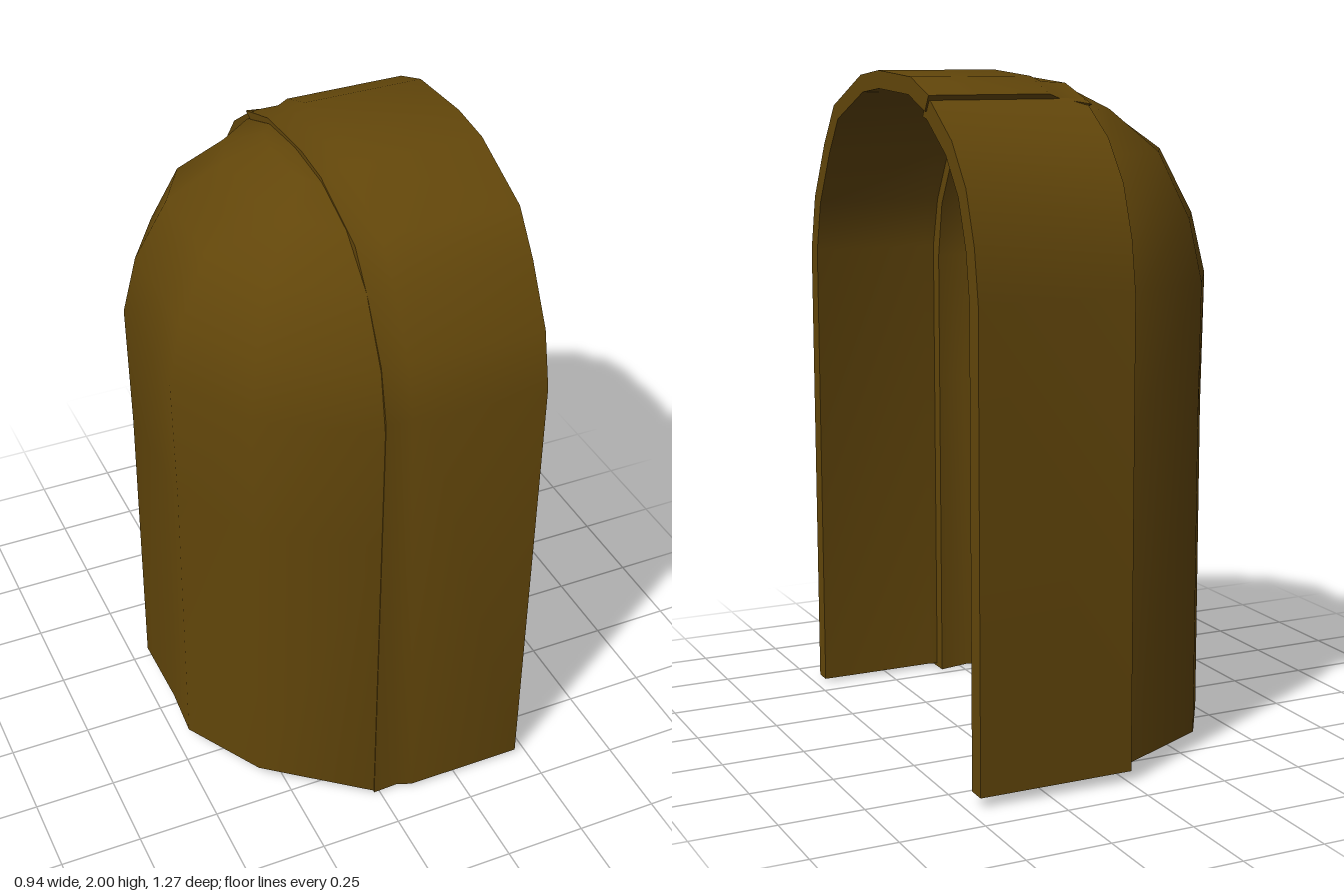
import * as THREE from 'three';
import { toCreasedNormals } from 'three/addons/utils/BufferGeometryUtils.js';

const material = new THREE.MeshStandardMaterial({ color: 0x62460a, side: THREE.DoubleSide });

// Closed thick shell between two matching grids of points (rows of columns).
function shell(name, outer, inner) {
  const pos = [];
  const quad = (a, b, c, d) => [a, b, c, a, c, d].forEach((p) => pos.push(...p));
  const m = outer.length - 1, n = outer[0].length - 1;
  for (let i = 0; i < m; i++) {
    for (let j = 0; j < n; j++) {
      quad(outer[i][j], outer[i][j + 1], outer[i + 1][j + 1], outer[i + 1][j]);
      quad(inner[i][j], inner[i + 1][j], inner[i + 1][j + 1], inner[i][j + 1]);
    }
    quad(outer[i][0], outer[i + 1][0], inner[i + 1][0], inner[i][0]);
    quad(outer[i][n], inner[i][n], inner[i + 1][n], outer[i + 1][n]);
  }
  for (let j = 0; j < n; j++) {
    quad(outer[0][j], inner[0][j], inner[0][j + 1], outer[0][j + 1]);
    quad(outer[m][j], outer[m][j + 1], inner[m][j + 1], inner[m][j]);
  }
  const g = new THREE.BufferGeometry();
  g.setAttribute('position', new THREE.Float32BufferAttribute(pos, 3));
  const mesh = new THREE.Mesh(toCreasedNormals(g, 0.7), material);
  mesh.name = name;
  return mesh;
}

// Shrinks an arch profile [z, y] inwards around its springing point.
function inset(profile, t) {
  return profile.map(([z, y]) => {
    const h = y - 1.4;
    if (h <= 0.04) return [z - Math.sign(z) * t, y];
    const r = Math.hypot(z, h);
    return [z * (1 - t / r), y - (h * t) / r];
  });
}

const section = (x, profile) => profile.map(([z, y]) => [x, y, z]);

export function createModel() {
  const model = new THREE.Group();
  model.name = 'archedNiche';

  // Main arch: one long leg, the crown, ending in a lap joint; back edge chamfered
  const main = [[-0.327, 1.937], [-0.2, 1.985], [0.04, 2], [0.18, 1.985], [0.41, 1.89],
    [0.5, 1.77], [0.595, 1.6], [0.635, 1.43], [0.635, 0.015]];
  const back = inset(main, 0.022);
  back[0] = [-0.36, 1.908];
  back[back.length - 1][1] = 0.005;
  const mainInner = inset(main, 0.052);
  model.add(shell('mainArch',
    [section(-0.017, back), section(0.06, inset(main, 0.017)), section(0.1, main), section(0.467, main)],
    [section(-0.017, inset(main, 0.06)), section(0.06, inset(main, 0.06)),
      section(0.1, mainInner), section(0.467, mainInner)]));

  // Side arch: the opposite leg, tucked slightly beneath the lap joint
  const side = [[-0.635, 0.035], [-0.635, 1.4], [-0.612, 1.55], [-0.56, 1.7],
    [-0.47, 1.82], [-0.33, 1.92], [-0.3, 1.928]];
  const sideInner = inset(side, 0.057);
  model.add(shell('sideArch',
    [section(-0.01, side), section(0.462, side)],
    [section(-0.01, sideInner), section(0.462, sideInner)]));

  // Domed apse: plan [z, depth] scaled by [height, half width, depth] rows;
  // the optional fourth value sets the rim back, which notches the crown
  const plan = [[-1, 0], [-0.745, 0.68], [-0.4, 0.98], [0, 0.975], [0.27, 1], [0.67, 0.68], [1, 0]];
  const feet = [0.05, 0.05, 0.045, 0.045, 0.045, 0.045, 0.045, 0.012, 0.005];
  const rows = (table) => table.map(([y, w, d, rim = 0.07], i) => {
    const pts = plan.map(([z, k]) => [-0.02 - k * d, y, z * w]);
    pts.unshift([rim, y, -w]);
    pts.push([rim, y, w]);
    if (i === 0) pts.forEach((p, j) => { p[1] = feet[j]; });
    return pts;
  });
  model.add(shell('apse',
    rows([[0, 0.61, 0.442], [1, 0.61, 0.442], [1.4, 0.61, 0.45], [1.58, 0.573, 0.41], [1.77, 0.473, 0.32],
      [1.89, 0.342, 0.16], [1.95, 0.185, 0.05], [1.952, 0.175, 0.047, 0], [1.967, 0, 0, 0]]),
    rows([[0, 0.535, 0.38], [1, 0.535, 0.38], [1.4, 0.535, 0.385], [1.57, 0.505, 0.35], [1.74, 0.41, 0.26],
      [1.84, 0.27, 0.13], [1.88, 0.185, 0.04], [1.882, 0.175, 0.037, 0], [1.89, 0, 0, 0]])));

  return model;
}
